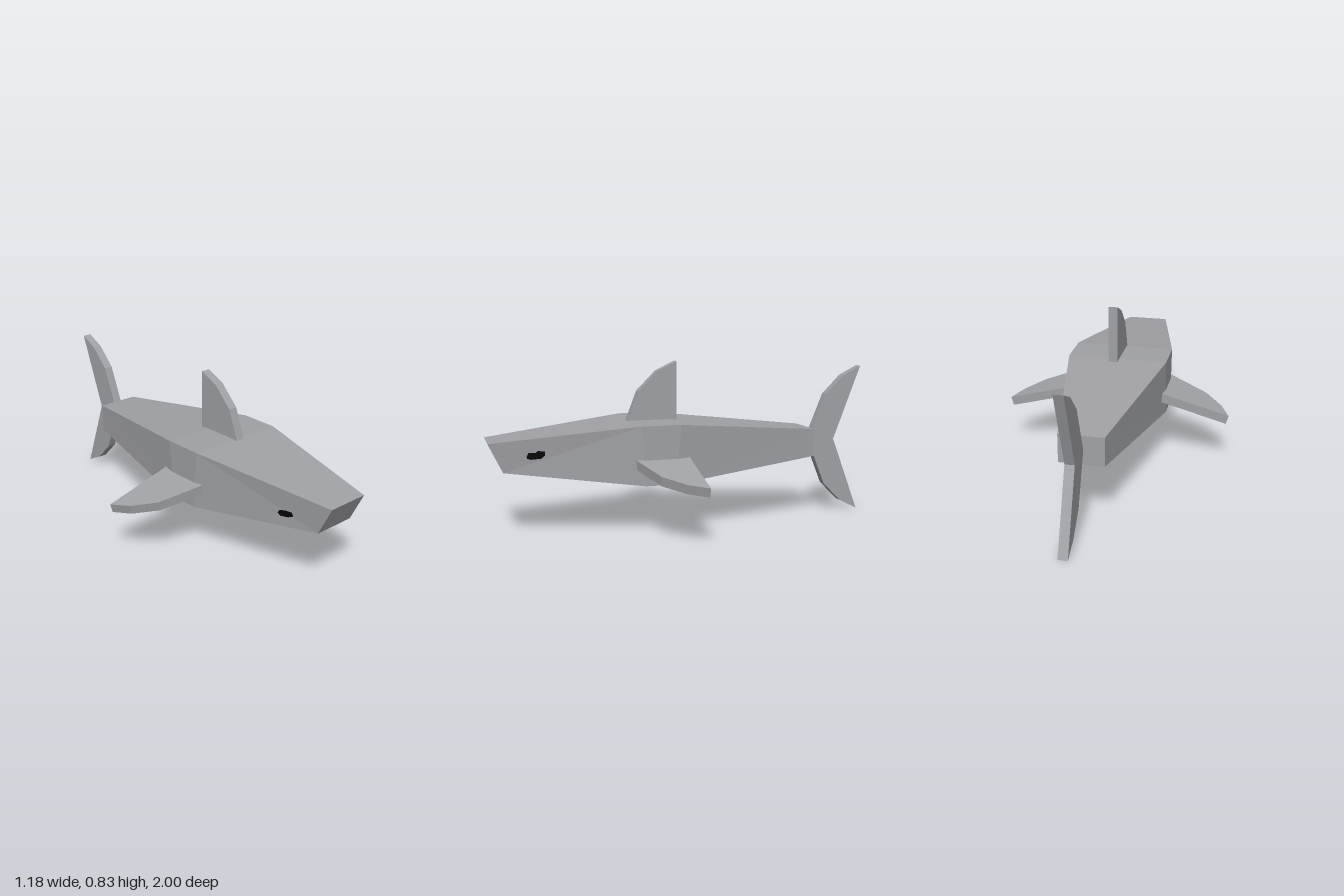
import * as THREE from 'three';

const skin = new THREE.MeshStandardMaterial({ color: 0xa0a1a5, flatShading: true });
skin.name = 'grey skin';
const black = new THREE.MeshStandardMaterial({ color: 0x050505, flatShading: true });
black.name = 'eye black';

const makeShape = (pts) => new THREE.Shape(pts.map(([a, b]) => new THREE.Vector2(a, b)));
const extrude = (pts, depth) =>
  new THREE.ExtrudeGeometry(makeShape(pts), { depth, bevelEnabled: false });

function addMesh(group, name, geometry, material) {
  const mesh = new THREE.Mesh(geometry, material);
  mesh.name = name;
  group.add(mesh);
}

// Upright fin: a (z, y) outline given thickness along x
function uprightFin(pts) {
  return extrude(pts, 0.047).rotateY(-Math.PI / 2).translate(0.047, 0, 0);
}

// Side fin: a (span, z) outline drooping away from the body
function sideFin(pts, side) {
  return extrude(pts.map(([u, z]) => [side * u, z]), 0.0475)
    .rotateX(Math.PI / 2)
    .rotateZ(-side * Math.PI / 12)
    .translate(side * 0.235, 0.387, 0);
}

// Boxy body lofted through four-cornered sections
function bodyGeometry() {
  const cx = 0.01;
  const sections = [
    { w: 0.11, top: 0.47, bottom: 0.325, zTop: 1.0, zBottom: 0.93 },
    { w: 0.26, top: 0.545, bottom: 0.25, zTop: 0.28, zBottom: 0.26 },
    { w: 0.26, top: 0.545, bottom: 0.25, zTop: 0.08, zBottom: 0.11 },
    { w: 0.11, top: 0.47, bottom: 0.325, zTop: -0.7, zBottom: -0.7 },
  ];
  const positions = [];
  for (const s of sections) {
    positions.push(cx + s.w, s.top, s.zTop, cx - s.w, s.top, s.zTop);
    positions.push(cx - s.w, s.bottom, s.zBottom, cx + s.w, s.bottom, s.zBottom);
  }
  const index = [0, 1, 2, 0, 2, 3];
  for (let i = 0; i < sections.length - 1; i++) {
    for (let j = 0; j < 4; j++) {
      const a = i * 4 + j, b = i * 4 + (j + 1) % 4;
      // the diagonal on both flanks runs from lower front to upper rear
      if (j === 3) index.push(a, a + 4, b + 4, a, b + 4, b);
      else if (j === 1) index.push(a, a + 4, b, b, a + 4, b + 4);
      else index.push(a, a + 4, b + 4, a, b + 4, b);
    }
  }
  const e = (sections.length - 1) * 4;
  index.push(e, e + 2, e + 1, e, e + 3, e + 2);
  const g = new THREE.BufferGeometry();
  g.setAttribute('position', new THREE.Float32BufferAttribute(positions, 3));
  g.setIndex(index);
  const flat = g.toNonIndexed();
  flat.computeVertexNormals();
  return flat;
}

// Thin eye plate sheared to follow the sloping cheek
function eyeGeometry(pts, side) {
  const g = extrude(pts, 0.008).rotateY(-Math.PI / 2).translate(0.004, 0, 0);
  const p = g.attributes.position;
  for (let i = 0; i < p.count; i++) {
    const cheek = 0.11 + 0.0945 * (p.getY(i) - 0.47) + 0.196 * (1 - p.getZ(i));
    p.setX(i, p.getX(i) + 0.01 + side * cheek);
  }
  g.computeVertexNormals();
  return g;
}

export function createModel() {
  const group = new THREE.Group();
  group.name = 'shark';

  addMesh(group, 'body', bodyGeometry(), skin);

  addMesh(group, 'dorsalFin', uprightFin([
    [0.04, 0.5], [0.04, 0.84], [0.14, 0.793], [0.24, 0.693], [0.3, 0.54], [0.3, 0.5],
  ]), skin);

  addMesh(group, 'tailFin', uprightFin([
    [-0.7, 0.4], [-0.8, 0.645], [-0.9, 0.745], [-1, 0.795],
    [-0.85, 0.4], [-1, 0.005], [-0.9, 0.055], [-0.8, 0.155],
  ]), skin);

  const pectoral = [[0, 0.035], [0.3675, 0.035], [0.32, 0.13], [0.223, 0.23], [0, 0.318]];
  addMesh(group, 'leftPectoralFin', sideFin(pectoral, 1), skin);
  addMesh(group, 'rightPectoralFin', sideFin(pectoral, -1), skin);

  // Roughly daubed eyes
  const leftEye = [
    [0.82, 0.405], [0.81, 0.424], [0.775, 0.424], [0.768, 0.432], [0.735, 0.43],
    [0.735, 0.41], [0.75, 0.395], [0.8, 0.39], [0.817, 0.395],
  ];
  const rightEye = [
    [0.805, 0.372], [0.798, 0.39], [0.765, 0.39], [0.735, 0.383],
    [0.725, 0.368], [0.74, 0.355], [0.78, 0.36],
  ];
  addMesh(group, 'leftEye', eyeGeometry(leftEye, 1), black);
  addMesh(group, 'rightEye', eyeGeometry(rightEye, -1), black);

  return group;
}
